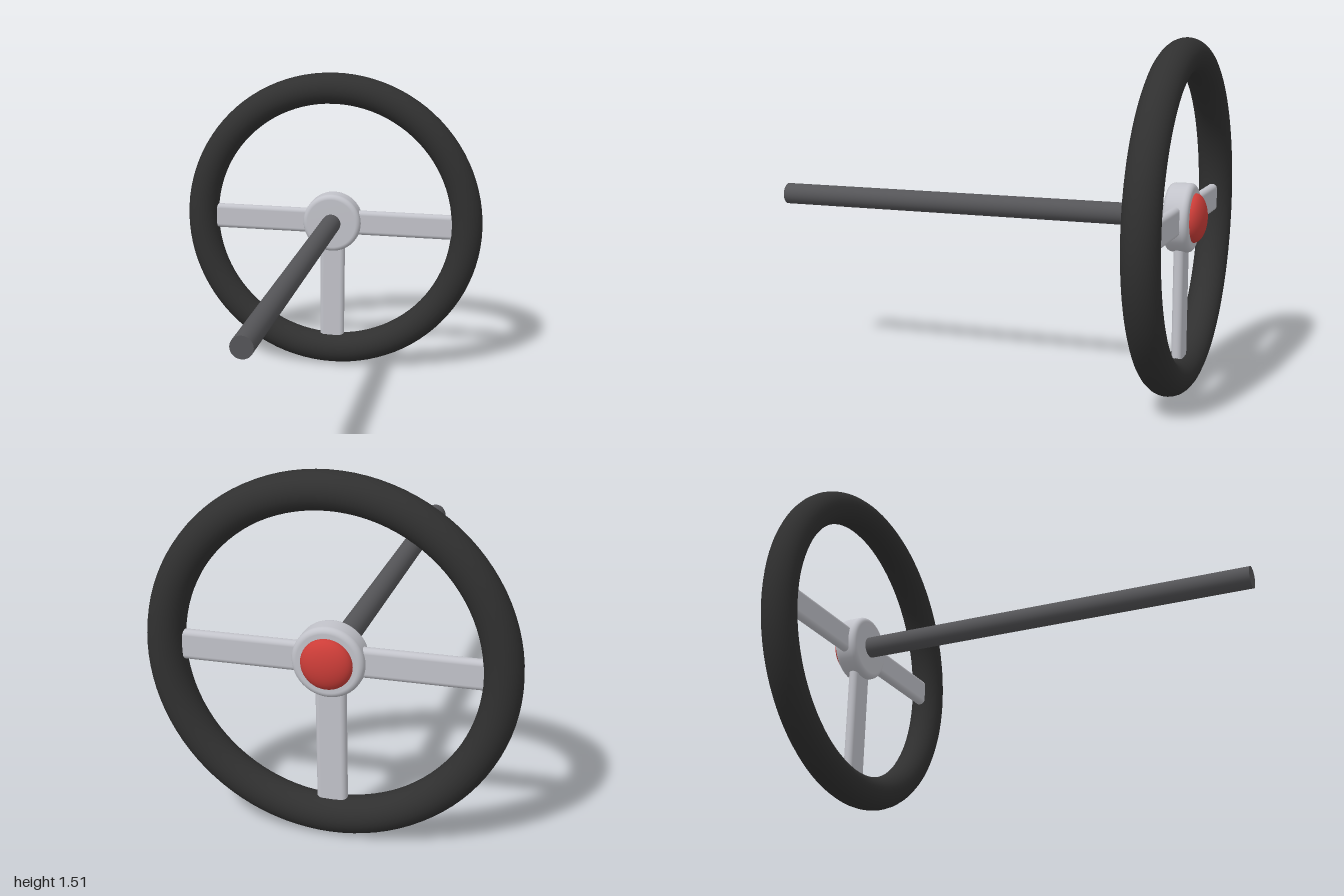
import * as THREE from 'three';
import { RoundedBoxGeometry } from 'three/addons/geometries/RoundedBoxGeometry.js';

const material = (name, color) => Object.assign(new THREE.MeshStandardMaterial({ color }), { name });

export function createModel() {
  const rubber = material('black rubber', 0x303030);
  const steel = material('dark steel', 0x555558);
  const silver = material('silver metal', 0xc2c3ca);
  const red = material('red', 0xcc3d38);

  const model = new THREE.Group();
  model.name = 'steeringWheel';
  const wheel = new THREE.Group();
  wheel.name = 'wheel';
  wheel.position.set(0, 0.757, -0.894);
  model.add(wheel);

  const add = (name, geometry, mat, parent = wheel) => {
    const mesh = new THREE.Mesh(geometry, mat);
    mesh.name = name;
    parent.add(mesh);
    return mesh;
  };

  // Grip ring
  add('rim', new THREE.TorusGeometry(0.68, 0.077, 24, 96), rubber);

  // Hub: a disc with rounded edges, turned about the z axis
  const half = 0.055, radius = 0.147, round = 0.024;
  const profile = [new THREE.Vector2(0, -half)];
  for (const side of [-1, 1]) {
    for (let i = 0; i <= 6; i++) {
      const a = (side < 0 ? i - 6 : i) * Math.PI / 12;
      profile.push(new THREE.Vector2(
        radius - round + round * Math.cos(a),
        side * (half - round) + round * Math.sin(a)));
    }
  }
  profile.push(new THREE.Vector2(0, half));
  add('hub', new THREE.LatheGeometry(profile, 48).rotateX(Math.PI / 2), silver);

  // Three flat spokes: left, right and bottom
  const spokes = { leftSpoke: 0, rightSpoke: Math.PI, bottomSpoke: -Math.PI / 2 };
  for (const [name, angle] of Object.entries(spokes)) {
    const geometry = new RoundedBoxGeometry(0.57, 0.125, 0.045, 4, 0.021);
    geometry.translate(0.365, 0, 0).rotateZ(angle);
    add(name, geometry, silver);
  }

  // Horn button: a flattened dome on the driver's side of the hub
  const dome = new THREE.SphereGeometry(0.105, 40, 12, 0, Math.PI * 2, 0, Math.PI / 2);
  dome.rotateX(-Math.PI / 2).scale(1, 1, 0.051 / 0.105).translate(0, 0, -0.055);
  add('hornButton', dome, red);

  // Steering column
  const start = -0.86, end = 1;
  const column = add('column',
    new THREE.CylinderGeometry(0.048, 0.048, end - start, 32).rotateX(Math.PI / 2), steel, model);
  column.position.set(0, 0.757, (start + end) / 2);

  return model;
}
